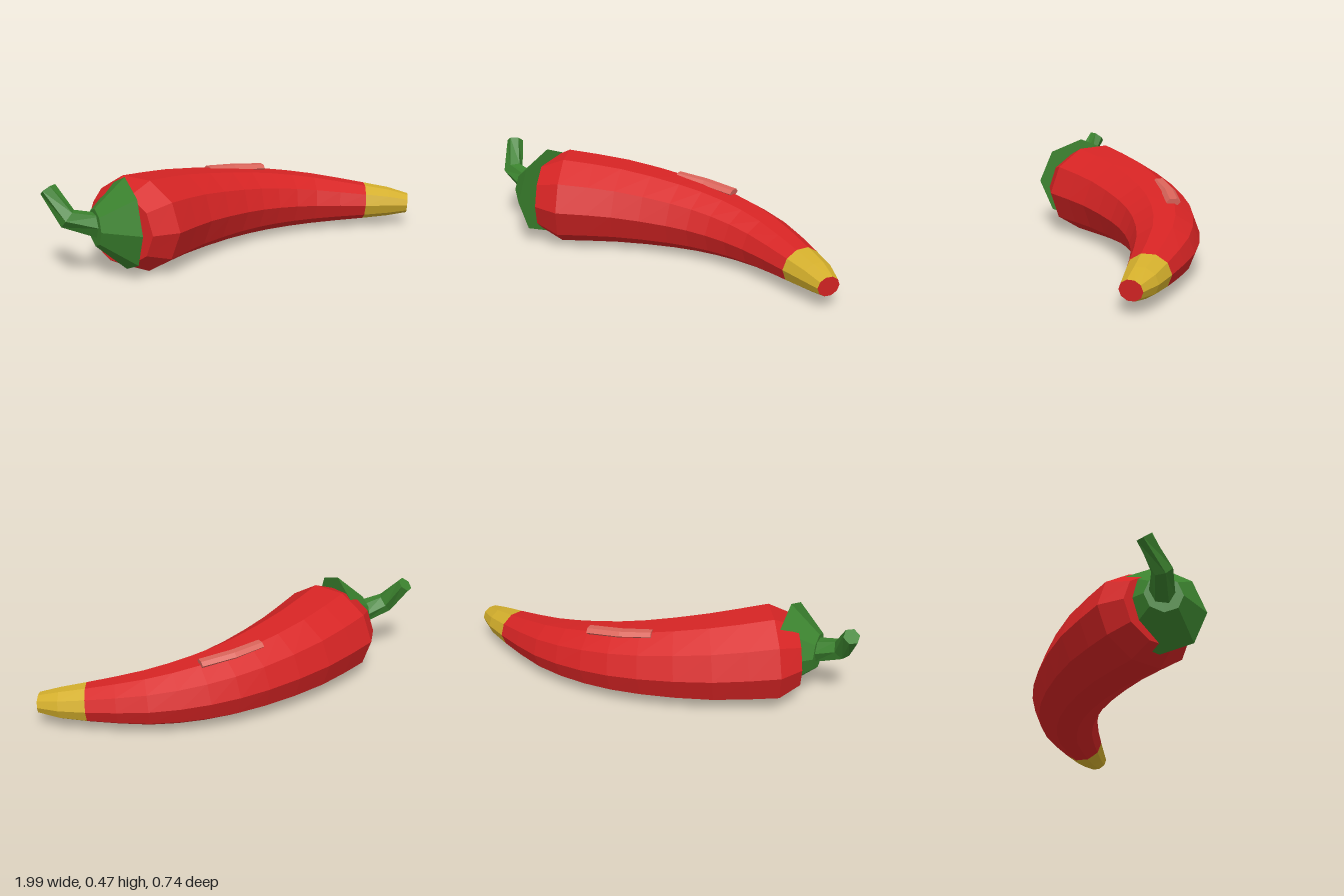
import * as THREE from 'three';

const mat = (name, color) => {
  const m = new THREE.MeshStandardMaterial({ color });
  m.name = name;
  return m;
};

// Rings of points around a path; each station is [x, y, z, radius]
function makeRings(stations, sides, squash = 1) {
  const pts = stations.map(s => new THREE.Vector3(s[0], s[1], s[2]));
  const last = pts.length - 1;
  return pts.map((p, i) => {
    const t = pts[Math.min(i + 1, last)].clone().sub(pts[Math.max(i - 1, 0)]).normalize();
    const side = t.clone().cross(new THREE.Vector3(0, 1, 0)).normalize();
    const up = side.clone().cross(t);
    const r = stations[i][3];
    return Array.from({ length: sides }, (_, k) => {
      const a = (k / sides) * Math.PI * 2;
      return p.clone().addScaledVector(side, Math.cos(a) * r).addScaledVector(up, Math.sin(a) * r * squash);
    });
  });
}

// Faceted skin over the rings, with optional end caps
function skin(rings, capStart, capEnd) {
  const out = [];
  const tri = (...v) => v.forEach(p => out.push(p.x, p.y, p.z));
  const n = rings[0].length;
  for (let i = 0; i < rings.length - 1; i++) {
    for (let j = 0; j < n; j++) {
      const k = (j + 1) % n;
      const a = rings[i][j], b = rings[i][k], c = rings[i + 1][k], d = rings[i + 1][j];
      tri(a, d, c);
      tri(a, c, b);
    }
  }
  const first = rings[0], end = rings[rings.length - 1];
  for (let j = 1; j < n - 1; j++) {
    if (capStart) tri(first[0], first[j], first[j + 1]);
    if (capEnd) tri(end[0], end[j + 1], end[j]);
  }
  const g = new THREE.BufferGeometry();
  g.setAttribute('position', new THREE.Float32BufferAttribute(out, 3));
  g.computeVertexNormals();
  return g;
}

export function createModel() {
  const group = new THREE.Group();
  group.name = 'chilliPepper';
  const red = mat('pepperRed', 0xd62424);
  const gold = mat('tipGold', 0xd4af2c);
  const green = mat('stemGreen', 0x3b822e);
  const pink = mat('highlightPink', 0xd9645a);
  const add = (name, geometry, material) => {
    const m = new THREE.Mesh(geometry, material);
    m.name = name;
    group.add(m);
    return m;
  };

  // Curved, tapering body: smooth stations along the bend
  const key = [
    [-0.56, 0.219, 0.09, 0.264], [-0.3, 0.203, -0.055, 0.24], [0, 0.182, -0.155, 0.207],
    [0.25, 0.165, -0.185, 0.18], [0.5, 0.146, -0.155, 0.148], [0.763, 0.127, -0.06, 0.106],
  ];
  const path = new THREE.CatmullRomCurve3(key.map(k => new THREE.Vector3(k[0], k[1], k[2])), false, 'catmullrom');
  const radius = new THREE.CatmullRomCurve3(key.map(k => new THREE.Vector3(k[3], 0, 0)), false, 'catmullrom');
  const stations = [[-0.66, 0.222, 0.145, 0.2]];
  const steps = 10;
  for (let i = 0; i <= steps; i++) {
    stations.push([...path.getPoint(i / steps).toArray(), radius.getPoint(i / steps).x]);
  }
  stations.push([0.88, 0.12, -0.01, 0.085], [0.97, 0.114, 0.04, 0.057]);

  const rings = makeRings(stations, 10, 0.87);
  add('body', skin(rings.slice(0, steps + 2), true, false), red);
  add('tip', skin(rings.slice(steps + 1), false, false), gold);

  // Red end face inside the gold tip
  add('tipEnd', skin(rings.slice(-1), false, true), red);

  // Flared cap between stem and body
  const calyx = new THREE.CylinderGeometry(0.09, 0.223, 0.15, 8).toNonIndexed();
  calyx.rotateZ(Math.PI / 2);
  calyx.computeVertexNormals();
  add('calyx', calyx, green).position.set(-0.705, 0.243, 0.145);

  // Bent stem
  const stem = [[-0.76, 0.25, 0.14, 0.06], [-0.9, 0.295, 0.12, 0.05], [-0.962, 0.42, 0.035, 0.041]];
  add('stem', skin(makeRings(stem, 6), true, true), green);

  // Raised highlight strip along the upper back
  const strip = [[-0.06, 0.352, -0.205, 0.034], [0.09, 0.337, -0.232, 0.036], [0.258, 0.321, -0.236, 0.035]];
  add('highlight', skin(makeRings(strip, 6, 0.55), true, true), pink);

  return group;
}
